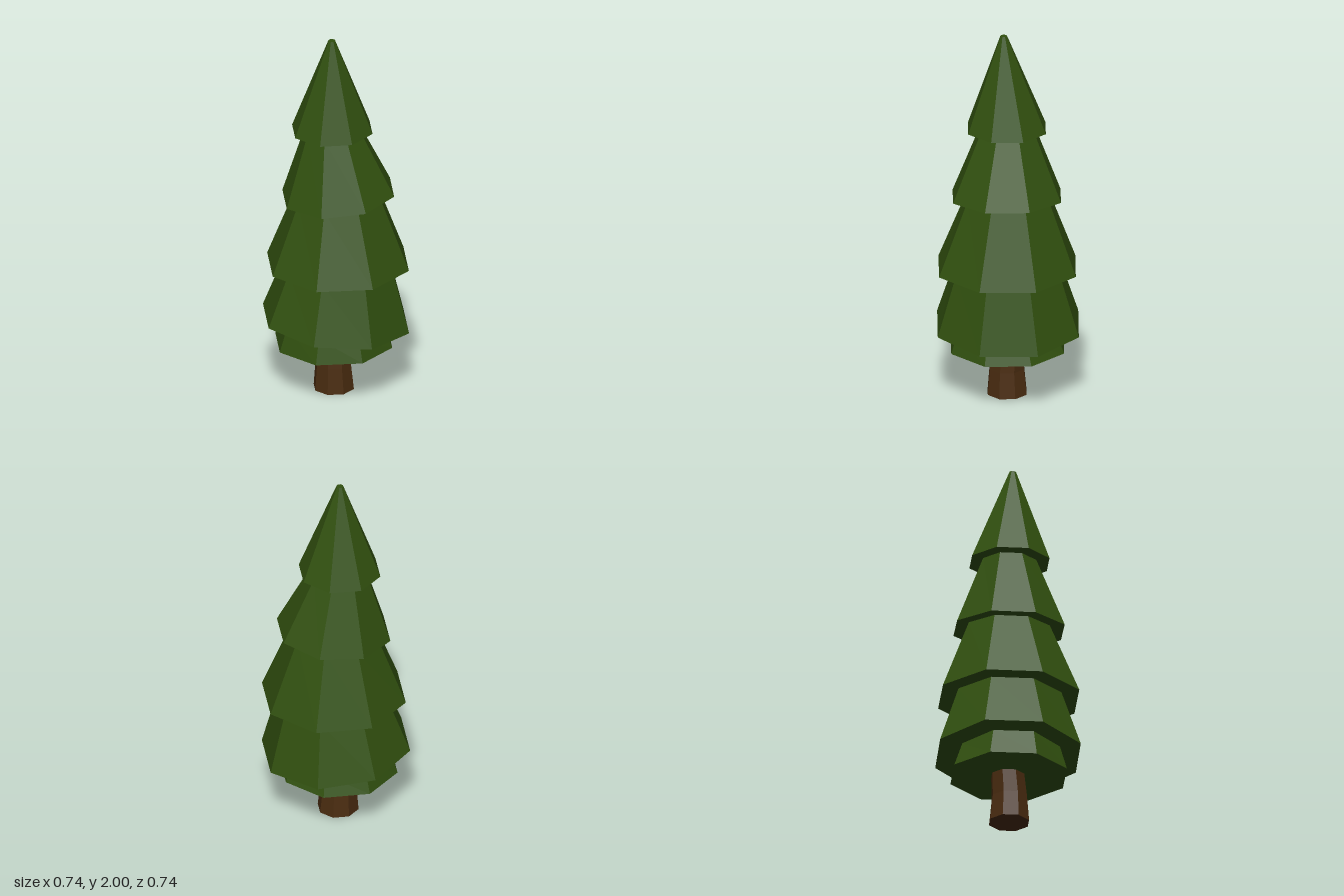
import * as THREE from 'three';

const SIDES = 8;
const PHASE = THREE.MathUtils.degToRad(-20);

// Eight-sided ring; slope tips it along x
function ringPoints({ x, y, z, r, slope = 0 }) {
  return Array.from({ length: SIDES }, (_, i) => {
    const a = PHASE + (i / SIDES) * Math.PI * 2;
    const dx = r * Math.cos(a);
    return new THREE.Vector3(x + dx, y + slope * dx, z + r * Math.sin(a));
  });
}

// Closed, faceted solid through rings listed from bottom to top
function loft(name, rings, material) {
  const loops = rings.map(ringPoints);
  const pts = [];
  const last = rings.length - 1;
  const bottom = new THREE.Vector3(rings[0].x, rings[0].y, rings[0].z);
  const top = new THREE.Vector3(rings[last].x, rings[last].y, rings[last].z);
  for (let i = 0; i < SIDES; i++) {
    const j = (i + 1) % SIDES;
    for (let k = 0; k < last; k++) {
      const a = loops[k], b = loops[k + 1];
      pts.push(a[i], b[i], b[j], a[i], b[j], a[j]);
    }
    pts.push(bottom, loops[0][i], loops[0][j]);
    pts.push(top, loops[last][j], loops[last][i]);
  }
  const geometry = new THREE.BufferGeometry().setFromPoints(pts);
  geometry.computeVertexNormals();
  const mesh = new THREE.Mesh(geometry, material);
  mesh.name = name;
  return mesh;
}

export function createModel() {
  const needles = new THREE.MeshStandardMaterial({ color: 0x31500f });
  needles.name = 'needle green';
  const bark = new THREE.MeshStandardMaterial({ color: 0x4a2c10 });
  bark.name = 'bark brown';

  const tree = new THREE.Group();
  tree.name = 'pineTree';

  // Slightly crooked trunk
  tree.add(loft('trunk', [
    { x: -0.012, y: 0, z: 0.004, r: 0.109 },
    { x: -0.015, y: 0.14, z: 0.005, r: 0.096 },
    { x: -0.017, y: 0.27, z: -0.004, r: 0.09 },
  ], bark));

  // Branch tiers: each skirt narrows up to the underside of the next
  const tiers = [
    [{ x: -0.012, y: 0.265, z: 0.002, r: 0.317 },
      { x: -0.01, y: 0.388, z: 0.006, r: 0.275, slope: -0.086 }],
    [{ x: 0, y: 0.388, z: 0, r: 0.396, slope: -0.086 },
      { x: 0.012, y: 0.717, z: 0.002, r: 0.29 }],
    [{ x: 0.01, y: 0.717, z: 0.005, r: 0.384 },
      { x: 0.005, y: 1.112, z: 0, r: 0.228, slope: 0.079 }],
    [{ x: 0.011, y: 1.112, z: 0.007, r: 0.303, slope: 0.079 },
      { x: -0.016, y: 1.481, z: 0.002, r: 0.15, slope: 0.015 }],
    [{ x: -0.02, y: 1.481, z: 0.005, r: 0.218, slope: 0.015 },
      { x: -0.025, y: 2, z: 0.021, r: 0.018 }],
  ];
  tiers.forEach((rings, i) => tree.add(loft(`branchTier${i + 1}`, rings, needles)));

  return tree;
}
